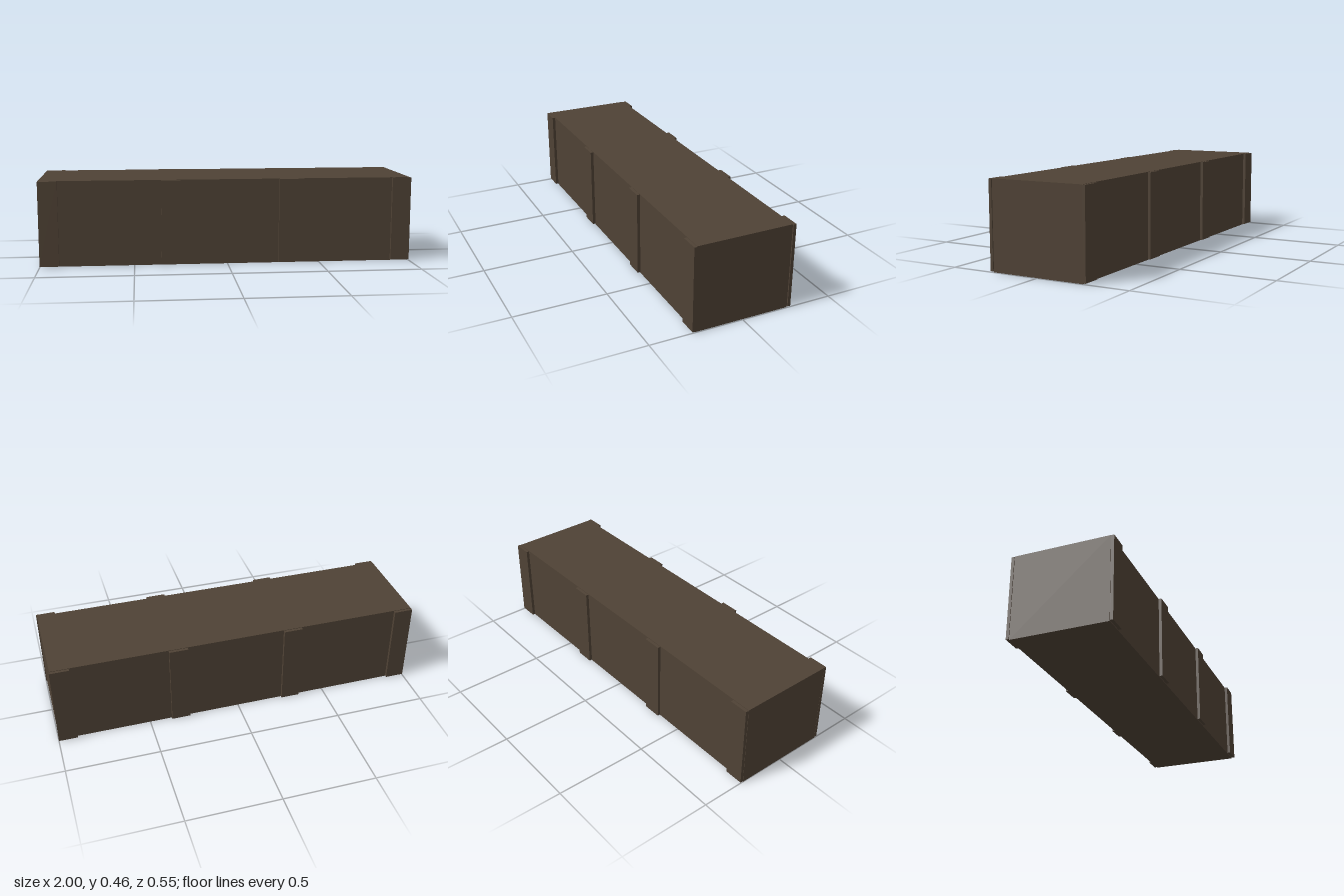
import * as THREE from 'three';

export function createModel() {
  const group = new THREE.Group();
  const darkWood = new THREE.MeshStandardMaterial({ color: 0x4f4235 });
  darkWood.name = 'darkWood';

  function addBox(name, width, height, depth, x, y, z) {
    const mesh = new THREE.Mesh(new THREE.BoxGeometry(width, height, depth), darkWood);
    mesh.name = name;
    mesh.position.set(x, y, z);
    group.add(mesh);
  }

  // Long closed crate body
  addBox('crateBody', 1.996, 0.458, 0.511, -0.002, 0.229, 0.0015);

  // Upright battens standing just off the front and back faces
  for (const x of [-0.949, -0.304, 0.329, 0.949]) {
    addBox('frontBatten', 0.102, 0.452, 0.016, x, 0.231, 0.266);
    addBox('backBatten', 0.102, 0.452, 0.016, x, 0.231, -0.264);
  }
  return group;
}
